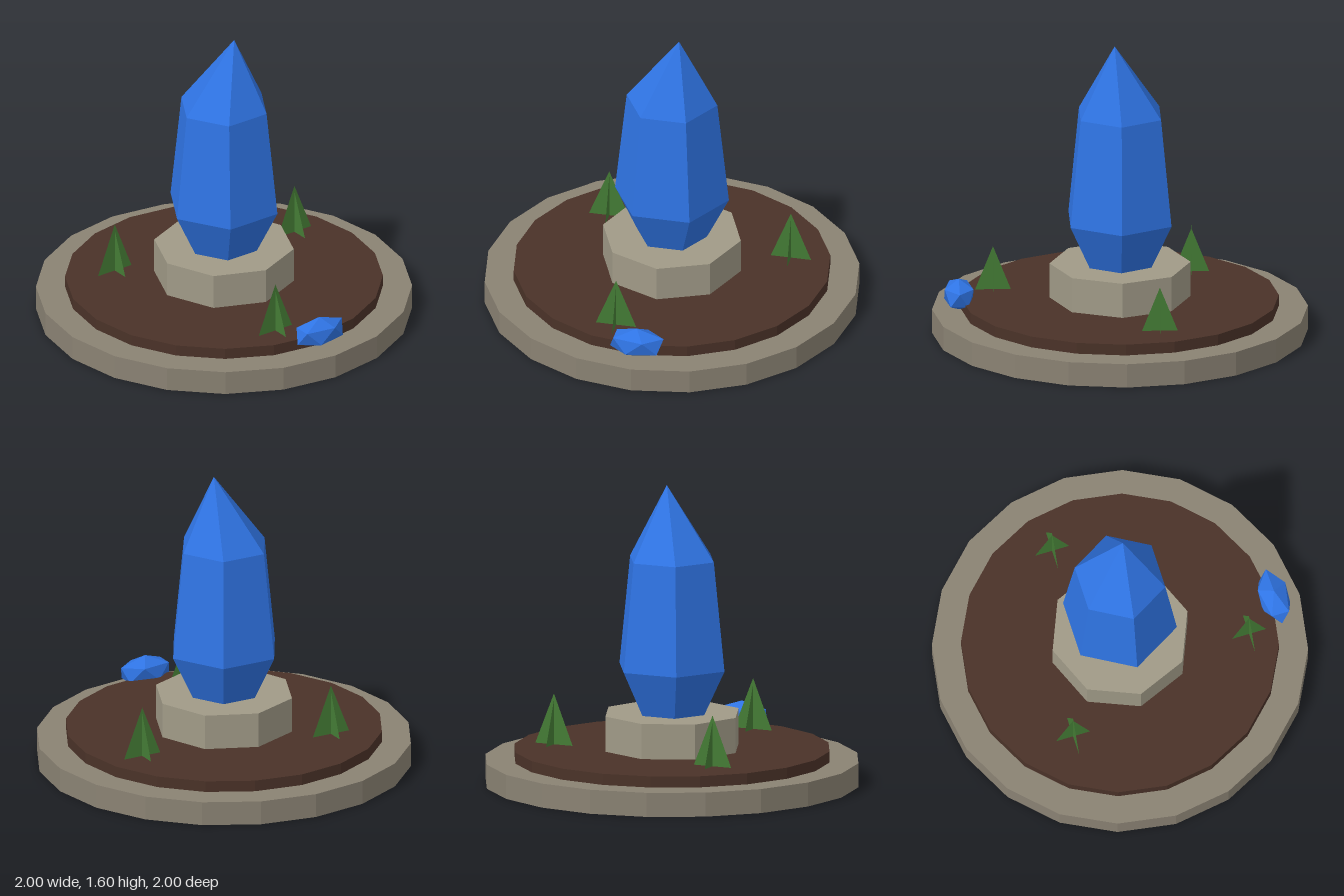
import * as THREE from 'three';

const material = (color, side = THREE.FrontSide) =>
  new THREE.MeshStandardMaterial({ color, side, flatShading: true });

const STONE = material(0x8a8273);
const PALE_STONE = material(0xa09a87);
const SOIL = material(0x4a3228);
const CRYSTAL = material(0x2f74e4);
const LEAF = material(0x447c35, THREE.DoubleSide);

function addMesh(parent, name, geometry, mat) {
  const mesh = new THREE.Mesh(geometry, mat);
  mesh.name = name;
  parent.add(mesh);
  return mesh;
}

// Upright polygonal slab between two heights
function slab(radius, y0, y1, sides) {
  return new THREE.CylinderGeometry(radius, radius, y1 - y0, sides).translate(0, (y0 + y1) / 2, 0);
}

// Flat upright triangle standing on y = 0
function leafTriangle(halfWidth, height) {
  return new THREE.ShapeGeometry(new THREE.Shape([
    new THREE.Vector2(-halfWidth, 0),
    new THREE.Vector2(halfWidth, 0),
    new THREE.Vector2(0, height),
  ]));
}

export function createModel() {
  const model = new THREE.Group();
  model.name = 'crystalMonument';

  // Stepped round base and octagonal pedestal
  addMesh(model, 'stoneBase', slab(1, 0, 0.13, 20), STONE);
  addMesh(model, 'soilBed', slab(0.845, 0.13, 0.19, 20), SOIL);
  addMesh(model, 'pedestal', slab(0.375, 0.19, 0.38, 8), PALE_STONE);

  // Six-sided crystal with an off-centre tip
  const profile = [[0, 0.38], [0.19, 0.38], [0.31, 0.625], [0.247, 1.21], [0, 1.6]]
    .map(([r, y]) => new THREE.Vector2(r, y));
  const crystal = new THREE.LatheGeometry(profile, 6, Math.PI / 2);
  const pos = crystal.attributes.position;
  for (let i = 0; i < pos.count; i++) {
    if (pos.getY(i) > 1.5) pos.setXYZ(i, 0.045, 1.6, 0.03);
  }
  addMesh(model, 'mainCrystal', crystal, CRYSTAL);

  // Small squashed gem on the front rim, one corner pointing up
  const gem = new THREE.IcosahedronGeometry(1)
    .rotateZ(-Math.atan(2 / (1 + Math.sqrt(5))))
    .scale(0.163, 0.085, 0.09)
    .translate(0, 0.215, 0.857);
  addMesh(model, 'smallGem', gem, CRYSTAL);

  // Trees made of two crossed leaf cards
  const wide = leafTriangle(0.11, 0.275);
  const narrow = leafTriangle(0.095, 0.24).rotateY(Math.PI / 2);
  for (const [x, z] of [[-0.155, 0.67], [0.605, -0.19], [-0.43, -0.395]]) {
    const tree = new THREE.Group();
    tree.name = 'tree';
    tree.position.set(x, 0.19, z);
    addMesh(tree, 'wideLeafCard', wide, LEAF);
    addMesh(tree, 'narrowLeafCard', narrow, LEAF);
    model.add(tree);
  }

  return model;
}
